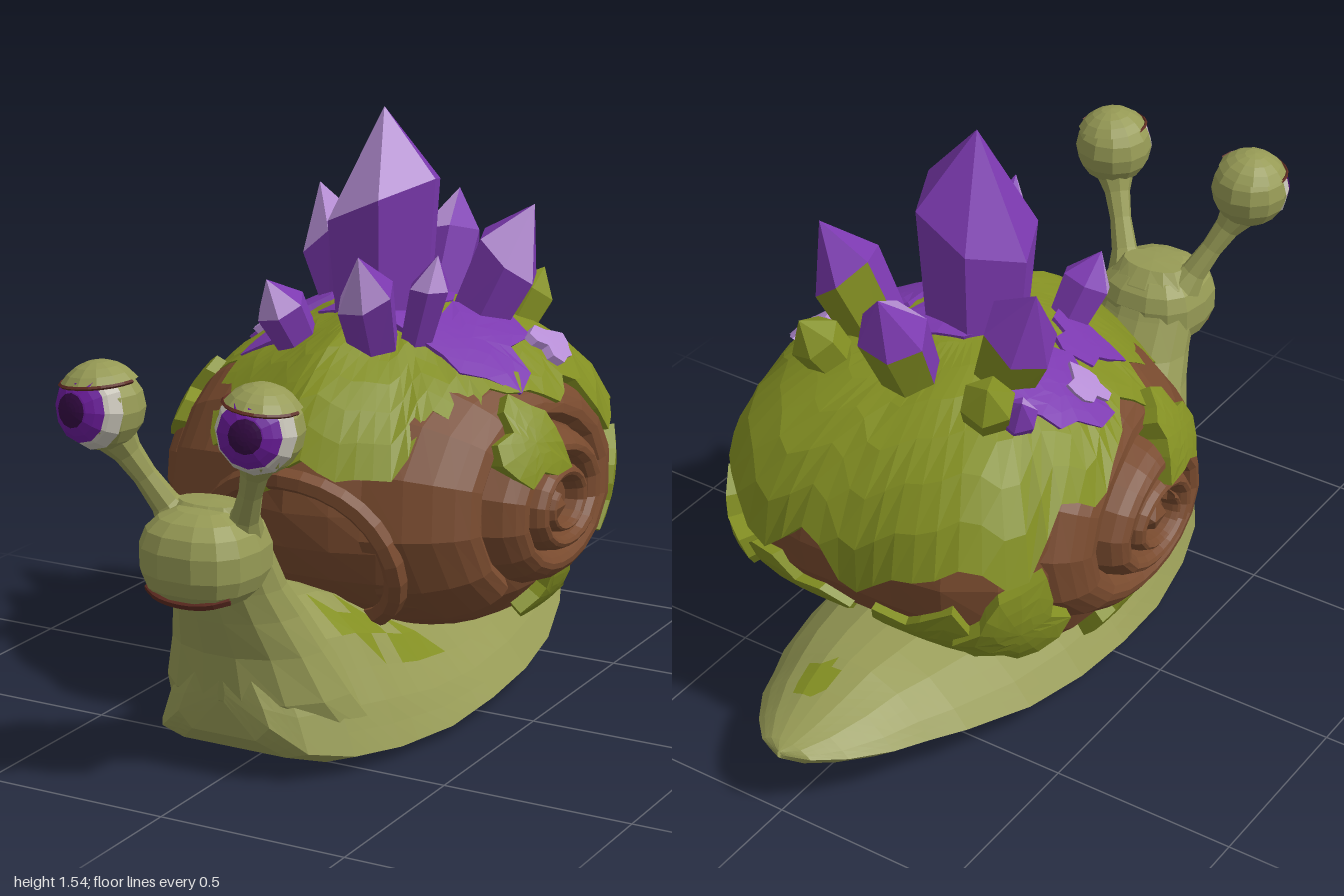
import * as THREE from 'three';
import { mergeGeometries } from 'three/addons/utils/BufferGeometryUtils.js';

const V = (x, y, z) => new THREE.Vector3(x, y, z);
const { sin, cos, PI, abs, hypot, max, min, pow, sign } = Math;

function material(name, color) {
  const m = new THREE.MeshStandardMaterial({ color, flatShading: true, side: THREE.DoubleSide });
  m.name = name;
  return m;
}

// surface from a rule: fn(u, v) gives a point, u and v run 0..1
function grid(nu, nv, fn) {
  const pos = [], index = [];
  for (let i = 0; i <= nu; i++) for (let j = 0; j <= nv; j++) pos.push(...fn(i / nu, j / nv).toArray());
  for (let i = 0; i < nu; i++) for (let j = 0; j < nv; j++) {
    const a = i * (nv + 1) + j, b = a + nv + 1;
    index.push(a, a + 1, b, b, a + 1, b + 1);
  }
  const g = new THREE.BufferGeometry();
  g.setAttribute('position', new THREE.Float32BufferAttribute(pos, 3));
  g.setIndex(index);
  g.computeVertexNormals();
  return g;
}

// row of a table at f = 0..1, blended between neighbours
function sample(rows, f) {
  const k = f * (rows.length - 1), i = min(Math.floor(k), rows.length - 2);
  return rows[i].map((a, j) => a + (rows[i + 1][j] - a) * (k - i));
}

// pick a material index for each triangle from its centre and normal
function paint(geo, pick) {
  const g = geo.toNonIndexed(), p = g.attributes.position, t = new THREE.Triangle();
  g.clearGroups();
  for (let i = 0; i < p.count; i += 3) {
    t.setFromAttributeAndIndices(p, i, i + 1, i + 2);
    g.addGroup(i, 3, pick(t.getMidpoint(V()), t.getNormal(V())));
  }
  g.computeVertexNormals();
  return g;
}

// shell outline: point on the hull in direction d, scaled by s
const C = V(0, 0.6, -0.12);
const radY = (y) => (y > 0 ? 0.43 : 0.4), radZ = (z) => (z > 0 ? 0.55 : 0.6);
const power = (dy, dz) => 2.4 - (dy > 0 ? 0.9 : 1.8) * dy + 1.2 * max(0, -dz) - 0.6 * max(0, dz);
function hull(dir, s = 1) {
  const d = dir.clone().normalize(), p = power(d.y, d.z);
  const rho = hypot(d.y / radY(d.y), d.z / radZ(d.z));
  const t = pow(pow(abs(d.x) / 0.5, p) + pow(rho, p), -1 / p);
  return d.multiplyScalar(t * s).add(C);
}

export function createModel() {
  const root = new THREE.Group();
  const skin = material('skin', 0x969a55), moss = material('moss', 0x838f22), brown = material('shellBrown', 0x784a2e);
  const purple = material('crystalPurple', 0x7c39b0), lilac = material('crystalLilac', 0xb58dd4);
  const white = material('eyeWhite', 0xc6c2b6), iris = material('irisPurple', 0x6c1c9c);
  const dark = material('pupilDark', 0x350a45), red = material('mouthRed', 0x5c2a20);
  const add = (name, geo, mat, parent = root) => {
    const m = new THREE.Mesh(geo, mat);
    m.name = name;
    parent.add(m);
    return m;
  };

  // foot: z, bottom, rim height, half width, top
  const foot = [
    [0.72, 0.2, 0.22, 0.01, 0.26], [0.71, 0.11, 0.15, 0.13, 0.31], [0.66, 0.06, 0.08, 0.21, 0.38],
    [0.55, 0.02, 0.05, 0.28, 0.44], [0.4, 0, 0.035, 0.33, 0.42], [0.2, 0, 0.03, 0.37, 0.34],
    [0, 0.01, 0.045, 0.385, 0.28], [-0.2, 0.02, 0.06, 0.38, 0.28], [-0.4, 0.04, 0.08, 0.35, 0.28],
    [-0.6, 0.07, 0.115, 0.29, 0.28], [-0.7, 0.085, 0.13, 0.245, 0.275], [-0.8, 0.1, 0.145, 0.205, 0.25],
    [-0.9, 0.13, 0.16, 0.14, 0.22], [-0.97, 0.155, 0.175, 0.075, 0.2], [-1, 0.17, 0.18, 0.005, 0.19]];
  const footGeo = grid(42, 24, (u, v) => {
    const [z, yb, rim, w, top] = sample(foot, u), h = top - rim, k = 1 - abs(v * 2 - 1);
    const half = [[0, yb], [0.7, yb], [1, rim], [0.86, rim + 0.3 * h], [0.6, rim + 0.72 * h], [0.27, top - 0.04 * h], [0, top]];
    const [x, y] = sample(half, k);
    return V((v < 0.5 ? 1 : -1) * x * w, y, z);
  });
  const spots = [[0.2, 0.33, 0.32, 0.08], [0.27, 0.24, 0.17, 0.08], [0.16, 0.37, 0.42, 0.05], [0.3, 0.2, 0.05, 0.04], [0.05, 0.26, -0.78, 0.06]];
  add('foot', paint(footGeo, (c) => (spots.some(([x, y, z, r], i) => hypot((i < 4 ? abs(c.x) : c.x) - x, c.y - y, c.z - z) < r) ? 1 : 0)), [skin, moss]);

  // neck: y, centre z, half width, half depth
  const neck = [[0.05, 0.42, 0.3, 0.19], [0.2, 0.52, 0.25, 0.2], [0.32, 0.58, 0.205, 0.15], [0.42, 0.63, 0.17, 0.14],
    [0.5, 0.68, 0.15, 0.12], [0.6, 0.73, 0.14, 0.11], [0.68, 0.75, 0.12, 0.09], [0.72, 0.75, 0.09, 0.05], [0.725, 0.75, 0, 0]];
  add('neck', grid(neck.length - 1, 14, (u, v) => {
    const [y, z, rx, rz] = sample(neck, u), a = -v * 2 * PI;
    return V(rx * cos(a), y, z + rz * sin(a));
  }), skin);

  // head, slightly boxy, and mouth
  const head = new THREE.SphereGeometry(1, 14, 9), hp = head.attributes.position;
  const box = (c) => sign(c) * pow(abs(c), 0.8);
  for (let i = 0; i < hp.count; i++) hp.setXYZ(i, 0.155 * box(hp.getX(i)), 0.595 + 0.122 * box(hp.getY(i)), 0.78 + 0.15 * box(hp.getZ(i)));
  head.computeVertexNormals();
  add('head', head, skin);
  const smile = [-1, -0.6, 0, 0.6, 1].map((k) => {
    const x = k * 0.115, y = 0.498 + 0.02 * k * k;
    const r = max(0, 1 - pow(abs(x) / 0.155, 2.5) - pow((0.595 - y) / 0.122, 2.5));
    return V(x, y, 0.78 + 0.15 * pow(r, 0.4));
  });
  add('mouth', new THREE.TubeGeometry(new THREE.CatmullRomCurve3(smile), 12, 0.011, 5), red);

  // eyes on stalks
  for (const s of [1, -1]) {
    const side = s > 0 ? 'left' : 'right';
    const a = V(s * 0.09, 0.66, 0.76), b = V(s * 0.205, 0.9, 0.87), len = a.distanceTo(b);
    const profile = [[0.055, 0], [0.036, 0.2], [0.03, 0.5], [0.036, 0.75], [0.06, 1]];
    const stalk = add(side + 'Stalk', new THREE.LatheGeometry(profile.map(([r, h]) => new THREE.Vector2(r, h * len)), 8), skin);
    stalk.position.copy(a);
    stalk.quaternion.setFromUnitVectors(V(0, 1, 0), b.clone().sub(a).normalize());
    const eye = new THREE.Group();
    eye.name = side + 'Eye';
    eye.position.set(s * 0.218, 0.957, 0.885);
    root.add(eye);
    add('eyeball', new THREE.SphereGeometry(0.105, 12, 8), skin, eye);
    // caps facing forward, each a little above the last
    for (const [name, r, reach, mat] of [['eyeWhite', 0.107, 1.25, white], ['iris', 0.11, 0.82, iris], ['pupil', 0.113, 0.38, dark]]) {
      const cap = new THREE.SphereGeometry(r, 12, 4, 0, 2 * PI, 0, reach).rotateX(PI / 2);
      add(name, cap, mat, eye).rotation.set(-0.1, s * 0.18, 0);
    }
    const lid = add('eyelid', new THREE.SphereGeometry(0.112, 12, 4, 0, 2 * PI, 0, 0.98), skin, eye);
    const rim = add('eyelidRim', new THREE.TorusGeometry(0.093, 0.005, 4, 10, PI).rotateX(PI / 2).translate(0, 0.062, 0), red, eye);
    lid.rotation.z = rim.rotation.z = -s * 0.1;
  }

  // shell core
  const core = new THREE.SphereGeometry(1, 28, 18), cp = core.attributes.position;
  for (let i = 0; i < cp.count; i++) {
    const q = hull(V().fromBufferAttribute(cp, i), 0.985);
    cp.setXYZ(i, q.x, q.y, q.z);
  }
  core.computeVertexNormals();
  add('shellCore', core, brown);

  // growing spiral whorl on each side, its centre a little low and forward
  const turns = 3.25, growth = 1.75;
  for (const s of [1, -1]) {
    add(s > 0 ? 'leftWhorl' : 'rightWhorl', grid(Math.round(turns * 18), 6, (u, v) => {
      const t = u * turns, k = s > 0 ? v : 1 - v, th = -0.8 + (turns - t) * 2 * PI;
      const q = 0.97 * pow(growth, t - turns + k - 1), bulge = pow(abs(sin(PI * k)), 0.6);
      const R = 1 / hypot(sin(th) / radY(sin(th)), cos(th) / radZ(cos(th))), p = power(0.75 * q * sin(th), 0.75 * q * cos(th));
      const x = 0.5 * pow(1 - pow(q, p), 1 / p) + 0.04 * (1 - q) + 0.075 * bulge * min(1, 0.4 + 2 * q) * (1.05 - 0.7 * q) - 0.03;
      const r = q * R * (1 + 0.025 * bulge);
      return V(s * x, C.y + r * sin(th) - 0.04 * (1 - q), C.z + r * cos(th) + 0.04 * (1 - q));
    }), brown);
    add('whorlTip', new THREE.IcosahedronGeometry(0.05, 0), brown).position.set(s * 0.49, C.y - 0.04, C.z + 0.04);
  }

  // shell lip around the neck
  const lip = [];
  for (let i = 0; i < 20; i++) {
    const a = i / 20 * 2 * PI;
    lip.push(hull(V(sin(a) * 0.52, -0.36 + cos(a) * 0.5, 0.85)));
  }
  add('shellLip', new THREE.TubeGeometry(new THREE.CatmullRomCurve3(lip, true), 30, 0.03, 6, true), brown);

  // moss cap with a dripping edge; its last row tucks under for thickness
  const edge = [[0, 0.16], [0.5, 0.22], [0.85, 0.48], [1.2, 0.54], [1.6, 0.52], [1.85, 0.4], [2.1, 0.24], [2.6, 0.08], [3.2, -0.05]];
  function edgeAngle(phi) {
    const f = min(abs(phi), 3.19), i = edge.findIndex((e) => e[0] > f);
    const [a, b] = [edge[i - 1], edge[i]];
    const base = a[1] + (b[1] - a[1]) * (f - a[0]) / (b[0] - a[0]);
    return base + 0.07 * sin(phi * 11) + 0.05 * sin(phi * 17 + 1);
  }
  add('mossCap', grid(9, 72, (u, v) => {
    const phi = (v * 2 - 1) * PI, row = min(1, u * 9 / 8);
    const e = PI / 2 + (edgeAngle(phi * 0.99999) - PI / 2) * row;
    const lump = 1.03 + 0.045 * row * abs(sin(phi)) + 0.008 * sin(phi * 7 + u * 20) * sin(row * PI);
    return hull(V(cos(e) * sin(phi), sin(e), cos(e) * cos(phi)), u > 0.95 ? 0.95 : lump);
  }), moss);

  // ragged patches lying on the shell: point aimed at, radius, height
  function patch(name, x, y, z, size, lift, mat) {
    const n = V(x, y, z).sub(C).normalize();
    const t1 = V(0, 1, 0.3).cross(n).normalize(), t2 = n.clone().cross(t1);
    add(name, grid(4, 14, (u, v) => {
      const a = v * 2 * PI, r = size * min(1, u * 4 / 3) * (1 + 0.22 * sin(a * 3 + x * 9) + 0.18 * sin(a * 5 + z * 9));
      const d = n.clone().addScaledVector(t1, r * cos(a)).addScaledVector(t2, r * sin(a));
      return hull(d, u > 0.9 ? 0.96 : lift);
    }), mat);
  }
  for (const s of [1, -1]) {
    patch('mossPatch', s * 0.46, 0.74, 0.02, 0.2, 1.13, moss);
    patch('mossPatch', s * 0.36, 0.5, -0.5, 0.2, 1.05, moss);
    patch('mossPatch', s * 0.42, 0.32, -0.16, 0.17, 1.05, moss);
    patch('mossPatch', s * 0.2, 0.38, -0.62, 0.26, 1.02, moss);
  }
  patch('crystalCrust', 0.27, 0.98, -0.1, 0.36, 1.075, purple);
  patch('crystalCrust', -0.29, 0.94, -0.22, 0.26, 1.085, purple);
  patch('crystalCrust', -0.26, 0.97, 0, 0.2, 1.08, purple);
  patch('crystalCrust', 0.02, 1.03, -0.13, 0.38, 1.055, purple);
  patch('paleCrust', -0.34, 0.93, -0.16, 0.11, 1.11, lilac);
  patch('paleCrust', 0.36, 0.9, -0.28, 0.11, 1.11, lilac);

  // crystals: base, tip, radius, point share of the length, slope of the shoulder
  const crystals = [
    [[-0.01, 0.9, -0.13], [-0.01, 1.54, -0.13], 0.16, 0.38, 0.45],
    [[-0.17, 0.93, -0.27], [-0.32, 1.28, -0.34], 0.1, 0.42, 0.3],
    [[0.17, 0.93, -0.27], [0.32, 1.28, -0.34], 0.1, 0.4, -0.3],
    [[0, 0.92, -0.38], [0, 1.26, -0.54], 0.09, 0.35, 0.2],
    [[0.07, 0.93, 0.06], [0.1, 1.22, 0.21], 0.08, 0.4, 0.3],
    [[-0.15, 0.93, 0.06], [-0.2, 1.12, 0.15], 0.07, 0.4, 0],
    [[0.15, 0.95, 0], [0.22, 1.2, 0.01], 0.055, 0.35, 0.2],
    [[-0.27, 0.88, -0.36], [-0.34, 1.03, -0.43], 0.05, 0.4, 0]];
  function crystalShape(base, tip, r, share, slope) {
    const a = V(...base), b = V(...tip), len = a.distanceTo(b), h = len * (1 - share);
    const g = mergeGeometries([
      new THREE.CylinderGeometry(r, r * 0.8, h, 6, 1, true).translate(0, h / 2, 0),
      new THREE.ConeGeometry(r, len - h, 6, 1, true).translate(0, h + (len - h) / 2, 0)]).rotateY(0.4);
    const p = g.attributes.position;
    for (let i = 0; i < p.count; i++) if (abs(p.getY(i) - h) < 0.001) p.setY(i, h + slope * p.getX(i));
    g.applyQuaternion(new THREE.Quaternion().setFromUnitVectors(V(0, 1, 0), b.sub(a).normalize()));
    return g.translate(a.x, a.y, a.z);
  }
  crystals.forEach(([base, tip, r, share, slope], i) => {
    const shoulder = tip[1] - (tip[1] - base[1]) * share;
    // pale front points, mossy backs on the small ones
    const g = paint(crystalShape(base, tip, r, share, slope), (c, n) => {
      if (c.y > shoulder) return n.z > 0.35 ? 1 : 0;
      return i > 0 && i < 4 && n.z < -0.45 ? 2 : 0;
    });
    add(i ? 'crystal' : 'mainCrystal', g, [purple, lilac, moss]);
  });

  // moss-covered stubs behind the crystals
  for (const s of [1, -1]) add('mossyCrystal', crystalShape([s * 0.21, 0.88, -0.38], [s * 0.28, 1.08, -0.49], 0.07, 0.3, 0), moss);
  return root;
}
